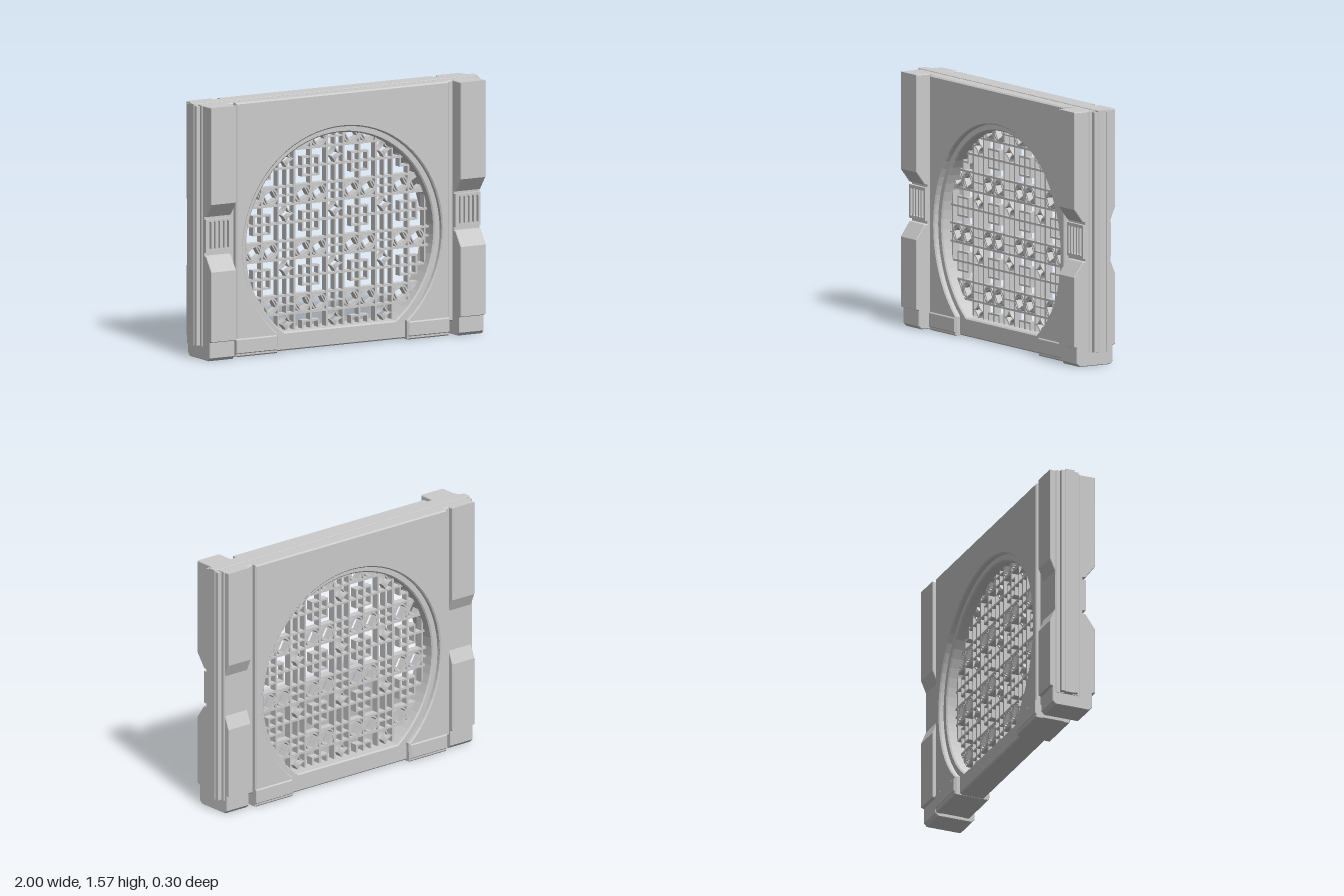
import * as THREE from 'three';

const grey = new THREE.MeshStandardMaterial({ color: 0xcccccc, flatShading: true });
const CY = 0.65; // height of the round opening's centre

function add(parent, geo, name) {
  const m = new THREE.Mesh(geo, grey);
  m.name = name;
  parent.add(m);
  return m;
}

function polygon(points) {
  return new THREE.Shape(points.map(p => new THREE.Vector2(p[0], p[1])));
}

// Extrude between two z planes; the bevel stays inside both planes and the outline
function slab(shape, z0, z1, bevel = 0, curveSegments = 32) {
  const g = new THREE.ExtrudeGeometry(shape, {
    depth: z1 - z0 - 2 * bevel, bevelEnabled: bevel > 0, bevelThickness: bevel,
    bevelSize: bevel, bevelOffset: -bevel, bevelSegments: 1, curveSegments,
  });
  return g.translate(0, 0, z0 + bevel);
}

// Extrude a (z, y) profile along x, centred on x = 0
function sideways(points, width, bevel = 0) {
  return slab(polygon(points), -width / 2, width / 2, bevel).rotateY(-Math.PI / 2);
}

// Points of the circle around the opening, from lower right over the top to lower left
function arcPoints(r, yCut, n = 56) {
  const a = Math.asin((yCut - CY) / r);
  return Array.from({ length: n + 1 }, (_, i) => {
    const t = a + (Math.PI - 2 * a) * i / n;
    return [r * Math.cos(t), CY + r * Math.sin(t)];
  });
}

function frameShape(half, w) {
  const sq = h => [[-h, -h], [h, -h], [h, h], [-h, h]];
  const s = polygon(sq(half));
  s.holes.push(polygon(sq(half - w)));
  return s;
}

// Four-pointed star with curved-in sides
function starPath(r) {
  const s = new THREE.Shape();
  const k = r * 0.22;
  s.moveTo(r, 0);
  s.quadraticCurveTo(k, k, 0, r);
  s.quadraticCurveTo(-k, k, -r, 0);
  s.quadraticCurveTo(-k, -k, 0, -r);
  s.quadraticCurveTo(k, -k, r, 0);
  return s;
}

function buildWall(root) {
  // core with the round, flat-bottomed opening
  const core = polygon([[-0.97, 0.08], [-0.75, 0.08], [-0.75, 0.005], [0.75, 0.005],
    [0.75, 0.08], [0.97, 0.08], [0.97, 1.56], [-0.97, 1.56]]);
  core.holes.push(polygon(arcPoints(0.66, 0.118)));
  add(root, slab(core, -0.115, 0.05, 0.008), 'wallCore');

  // raised faces, open towards the floor between the base blocks
  const face = polygon([[0.75, 0], [0.75, 1.56], [-0.75, 1.56], [-0.75, 0], [-0.457, 0],
    ...arcPoints(0.7, 0.118).reverse(), [0.457, 0]]);
  add(root, slab(face, 0.03, 0.081, 0.008), 'frontFace');
  add(root, slab(face, -0.146, -0.095, 0.008), 'backFace');

  // ridge running round the top and sides
  const ridge = polygon([[-1, 0.08], [-0.96, 0.08], [-0.96, 1.5], [0.96, 1.5],
    [0.96, 0.08], [1, 0.08], [1, 1.565], [-1, 1.565]]);
  add(root, slab(ridge, -0.06, 0, 0.003), 'edgeRidge');

  for (const s of [-1, 1]) {
    const rail = new THREE.BoxGeometry(0.05, 1.47, 0.025);
    for (const z of [-0.073, 0.013]) add(root, rail, 'sideRail').position.set(s * 0.972, 0.82, z);

    // chamfered blocks at the foot of the wall
    const block = [[0.06, 0], [0.087, 0.025], [0.087, 0.105], [0.079, 0.115],
      [-0.144, 0.115], [-0.152, 0.105], [-0.152, 0.025], [-0.125, 0]];
    add(root, sideways(block, 0.287, 0.004), 'baseBlock').position.x = s * 0.6065;
  }
}

function buildPillar() {
  const p = new THREE.Group();
  p.name = 'pillar';
  const W = 0.175;
  const profile = [[0.11, 0], [0.13, 0.02], [0.13, 0.115], [0.15, 0.122], [0.15, 0.55],
    [0.088, 0.638], [0.068, 0.642], [0.068, 0.878], [0.088, 0.882], [0.15, 0.965], [0.15, 1.56],
    [-0.148, 1.56], [-0.148, 0.965], [-0.112, 0.882], [-0.095, 0.878], [-0.095, 0.642],
    [-0.112, 0.638], [-0.148, 0.55], [-0.148, 0.122], [-0.13, 0.115], [-0.13, 0.02], [-0.11, 0]];
  add(p, sideways(profile, W, 0.004), 'post');

  // waist plates with rounded vertical slots
  const plate = polygon([[-W / 2, 0.66], [W / 2, 0.66], [W / 2, 0.865], [-W / 2, 0.865]]);
  const r = 0.01;
  for (let i = -2; i <= 2; i++) {
    const x = i * 0.031;
    const slot = new THREE.Path();
    slot.absarc(x, 0.84, r, 0, Math.PI, false);
    slot.absarc(x, 0.686, r, Math.PI, 2 * Math.PI, false);
    slot.closePath();
    plate.holes.push(slot);
  }
  add(p, slab(plate, 0.06, 0.088, 0, 5), 'frontFlutes');
  add(p, slab(plate, -0.114, -0.09, 0, 5), 'backFlutes');
  return p;
}

function buildLattice() {
  const g = new THREE.Group();
  g.name = 'lattice';
  const C = 0.1145, H = 0.1117;  // cell width and height
  const Y0 = 0.497;              // centre of a star row
  const Z0 = -0.055, Z1 = -0.008, ZM = (Z0 + Z1) / 2, D = Z1 - Z0;
  const R = 0.67, T = 0.013;

  // straight bars, cut to the round opening
  for (let i = -6; i <= 5; i++) {
    const x = (i + 0.5) * C;
    if (Math.abs(x) > R) continue;
    const top = CY + Math.sqrt(R * R - x * x);
    const bottom = Math.max(0.1, 2 * CY - top);
    add(g, new THREE.BoxGeometry(T, top - bottom, D), 'uprightBar').position.set(x, (top + bottom) / 2, ZM);
  }
  for (let j = -4; j <= 7; j++) {
    const y = Y0 + (j + 0.5) * H;
    if (y < 0.12 || Math.abs(y - CY) > R) continue;
    const half = Math.sqrt(R * R - (y - CY) ** 2);
    add(g, new THREE.BoxGeometry(2 * half, T, D), 'crossBar').position.set(0, y, ZM);
  }

  const star = starPath(0.055);
  star.holes.push(starPath(0.04));
  const ring = new THREE.Shape().absarc(0, 0, 0.055, 0, 2 * Math.PI);
  ring.holes.push(new THREE.Path().absarc(0, 0, 0.045, 0, 2 * Math.PI));
  const geo = {
    star: slab(star, Z0, Z1, 0, 5),
    ring: slab(ring, Z0, Z1, 0, 10),
    diamond: slab(frameShape(0.037, 0.008), Z0, Z1).rotateZ(Math.PI / 6),
    square: slab(frameShape(0.062, 0.011), Z0, Z1),
    plusV: new THREE.BoxGeometry(0.009, H, D).translate(0, 0, ZM),
    plusH: new THREE.BoxGeometry(C, 0.009, D).translate(0, 0, ZM),
  };
  const mod3 = n => ((n % 3) + 3) % 3;
  for (let i = -6; i <= 6; i++) {
    for (let j = -4; j <= 8; j++) {
      const x = i * C, y = Y0 + j * H;
      const put = (name, dx = 0, dy = 0) => {
        // keep only what reaches the opening; the rest would lie in the wall
        if (Math.hypot(x + dx, y + dy - CY) < 0.7 && y + dy > 0.07) add(g, geo[name], name).position.set(x + dx, y + dy, 0);
      };
      const col = mod3(i), row = mod3(j); // row 0 star, 1 ring, 2 square
      if (col === 0) {
        if (row === 0) put('star');
        else {
          put('plusV');
          if (row === 1) put('plusH');
        }
      } else if (row === 1) {
        put('ring');
        put('diamond');
      } else if (col === 1 && row === 0) {
        put('square', C / 2, -H / 2); // spans a block of two by two cells
      }
    }
  }
  return g;
}

export function createModel() {
  const root = new THREE.Group();
  root.name = 'latticeWall';
  buildWall(root);
  for (const s of [-1, 1]) {
    const pillar = buildPillar();
    pillar.position.x = s * 0.8775;
    root.add(pillar);
  }
  root.add(buildLattice());
  return root;
}
